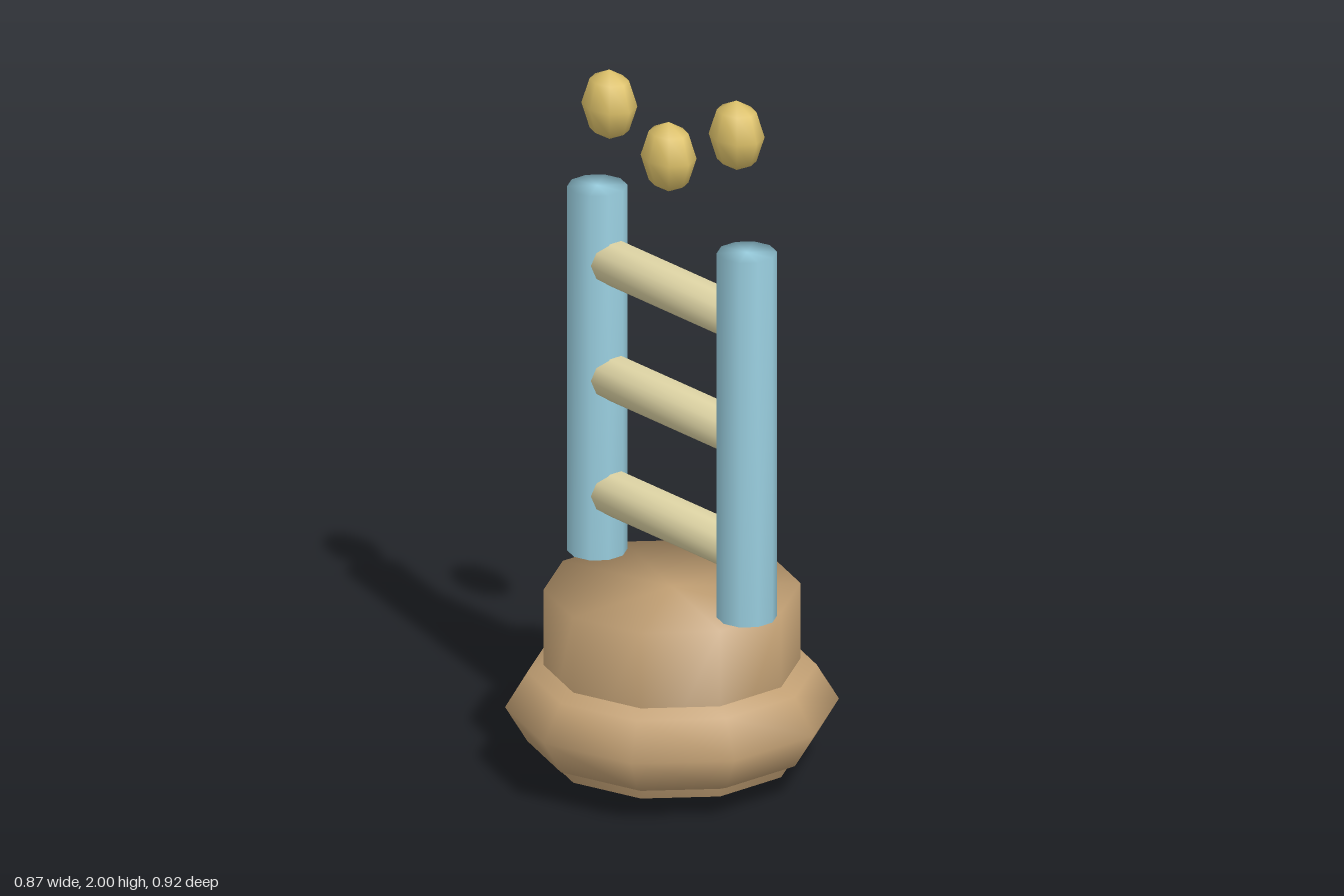
import * as THREE from 'three';
import { mergeVertices } from 'three/addons/utils/BufferGeometryUtils.js';

const material = (name, color) => Object.assign(new THREE.MeshStandardMaterial({ color }), { name });

// Low-poly cylinder with normals shared between wall and caps
function softCylinder(radius, height) {
  const g = new THREE.CylinderGeometry(radius, radius, height, 10);
  g.deleteAttribute('normal');
  g.deleteAttribute('uv');
  const merged = mergeVertices(g);
  merged.computeVertexNormals();
  return merged;
}

export function createModel() {
  const model = new THREE.Group();
  const brown = material('brown', 0xc2a074);
  const blue = material('pale blue', 0x9acfe0);
  const cream = material('cream', 0xe0d6a6);
  const gold = material('gold', 0xdec26a);

  function add(name, geometry, mat, x, y, z) {
    const mesh = new THREE.Mesh(geometry, mat);
    mesh.name = name;
    mesh.position.set(x, y, z);
    model.add(mesh);
    return mesh;
  }

  // Base: squashed ball with a drum through it
  const foot = new THREE.SphereGeometry(0.46, 10, 6);
  foot.rotateY(Math.PI / 2); // corner points on the z axis
  foot.scale(1, 0.205 / 0.46, 1);
  add('baseBulge', foot, brown, 0, 0.205, 0);
  add('baseDrum', softCylinder(0.354, 0.49), brown, 0, 0.305, 0);

  // Two uprights
  const post = softCylinder(0.083, 1.08);
  for (const [name, side] of [['leftPost', 1], ['rightPost', -1]]) {
    add(name, post, blue, side * 0.32, 1.1, 0);
  }

  // Three rungs reaching into the uprights
  const rung = softCylinder(0.065, 0.62);
  rung.rotateZ(Math.PI / 2);
  [0.75, 1.092, 1.433].forEach((y, i) => add('rung' + (i + 1), rung, cream, 0, y, 0));

  // Three floating beads in a triangle
  const bead = new THREE.SphereGeometry(1, 8, 4);
  bead.scale(0.086, 0.103, 0.07);
  [[-0.268, 0], [0.131, 0.122], [0.131, -0.122]].forEach(([x, z], i) =>
    add('bead' + (i + 1), bead, gold, x, 1.897, z));

  return model;
}
